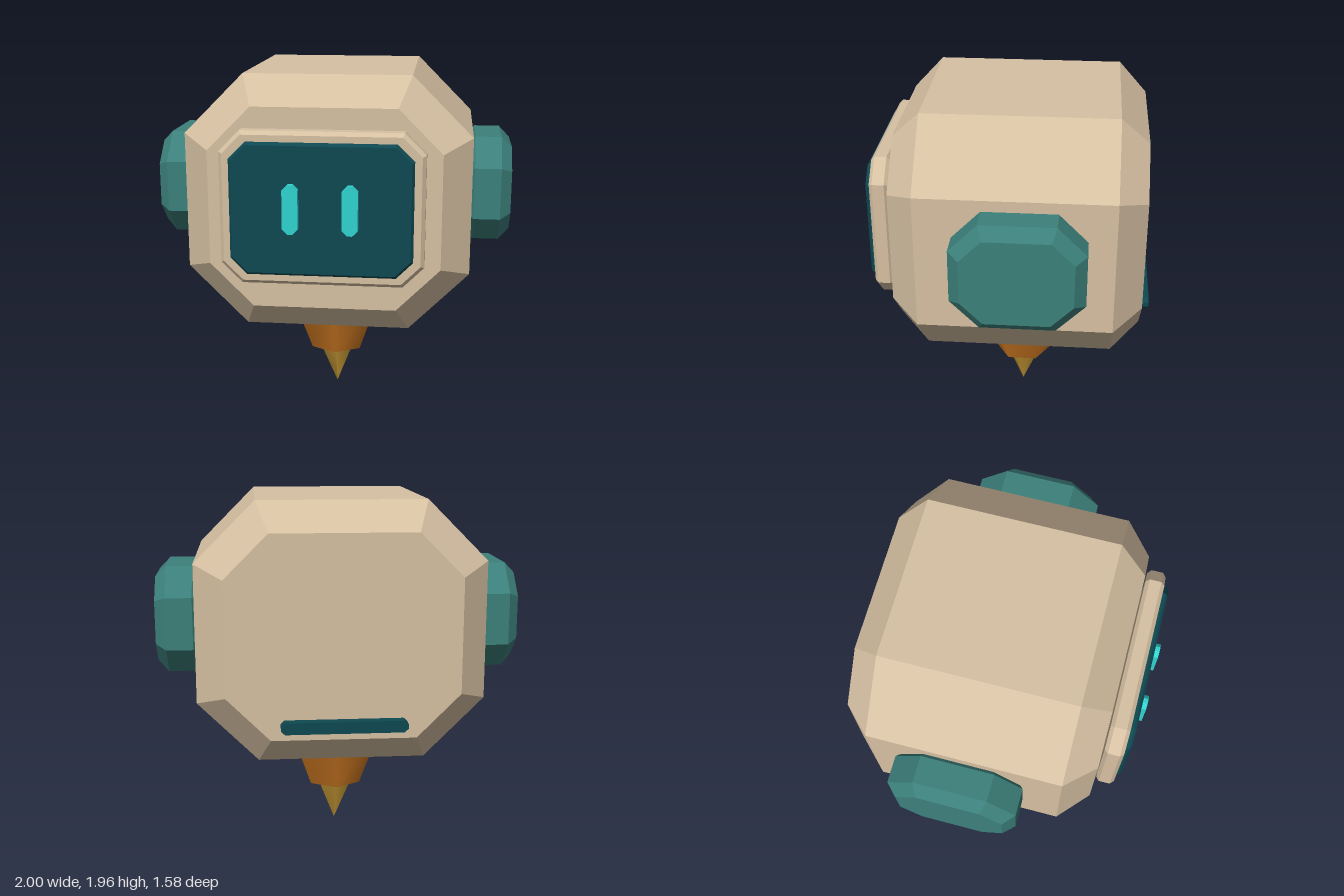
import * as THREE from 'three';

const mat = (name, color, flatShading = true) => {
  const m = new THREE.MeshStandardMaterial({ color, flatShading });
  m.name = name;
  return m;
};

// Eight-sided chamfered rectangle at depth z, pushed inwards evenly by inset
function ring(hx, hy, chamfer, z, inset) {
  const slope = inset * Math.tan(Math.PI / 8);
  const fx = hx - chamfer - slope, fy = hy - chamfer - slope;
  const x = hx - inset, y = hy - inset;
  return [[x, -fy], [x, fy], [fx, y], [-fx, y], [-x, fy], [-x, -fy], [-fx, -y], [fx, -y]]
    .map(([px, py]) => new THREE.Vector3(px, py, z));
}

// Chamfered block from z0 to z1, its front and back rims bevelled
function block(name, material, hx, hy, chamfer, z0, z1, bevel = 0, depth = bevel) {
  const rings = bevel
    ? [[z0, bevel], [z0 + depth, 0], [z1 - depth, 0], [z1, bevel]]
    : [[z0, 0], [z1, 0]];
  const loops = rings.map(([z, inset]) => ring(hx, hy, chamfer, z, inset));
  const tris = [];
  for (let i = 0; i + 1 < loops.length; i++) {
    for (let j = 0; j < 8; j++) {
      const k = (j + 1) % 8, a = loops[i], b = loops[i + 1];
      tris.push(a[j], a[k], b[k], a[j], b[k], b[j]);
    }
  }
  const back = loops[0], front = loops[loops.length - 1];
  for (let j = 1; j < 7; j++) {
    tris.push(front[0], front[j], front[j + 1], back[0], back[j + 1], back[j]);
  }
  const geometry = new THREE.BufferGeometry().setFromPoints(tris);
  geometry.computeVertexNormals();
  const mesh = new THREE.Mesh(geometry, material);
  mesh.name = name;
  return mesh;
}

export function createModel() {
  const shell = mat('beige shell', 0xd6c0a2);
  const teal = mat('ear teal', 0x3c807b);
  const dark = mat('dark screen teal', 0x0e4851);
  const glow = mat('eye cyan', 0x30d3d0);
  const orange = mat('nozzle orange', 0xd07a22, false);
  const gold = mat('tip gold', 0xd2a238, false);

  const model = new THREE.Group();
  model.name = 'robotHead';
  const add = (mesh, x, y, z) => {
    mesh.position.set(x, y, z);
    model.add(mesh);
    return mesh;
  };

  // Head and face
  add(block('head', shell, 0.777, 0.7, 0.326, -0.737, 0.612, 0.155), 0, 1.257, 0);
  add(block('faceFrame', shell, 0.538, 0.409, 0.112, 0.622, 0.726, 0.02), 0, 1.285, 0);
  add(block('screen', dark, 0.48, 0.352, 0.088, 0.70, 0.756, 0.013), 0, 1.287, 0);

  // Eyes and ear pads, mirrored
  for (const side of [1, -1]) {
    const label = side > 0 ? 'left' : 'right';
    add(block(label + 'Eye', glow, 0.041, 0.13, 0.028, 0.74, 0.792), side * 0.155, 1.299, 0);
    const ear = add(block(label + 'Ear', teal, 0.348, 0.295, 0.152, 0.735, 1, 0.06), 0, 1.285, -0.09);
    ear.rotation.y = side * Math.PI / 2;
  }

  // Slot on the back
  add(block('backSlot', dark, 0.335, 0.032, 0.02, -0.792, -0.72), 0, 0.792, 0);

  // Six-sided nozzle and pointed tip underneath
  const nozzle = new THREE.Mesh(new THREE.CylinderGeometry(0.289, 0.166, 0.32, 6), orange);
  nozzle.name = 'nozzle';
  add(nozzle, 0, 0.41, -0.06);
  const tip = new THREE.Mesh(new THREE.CylinderGeometry(0.108, 0, 0.25, 6), gold);
  tip.name = 'tip';
  add(tip, 0, 0.125, -0.06);

  return model;
}
